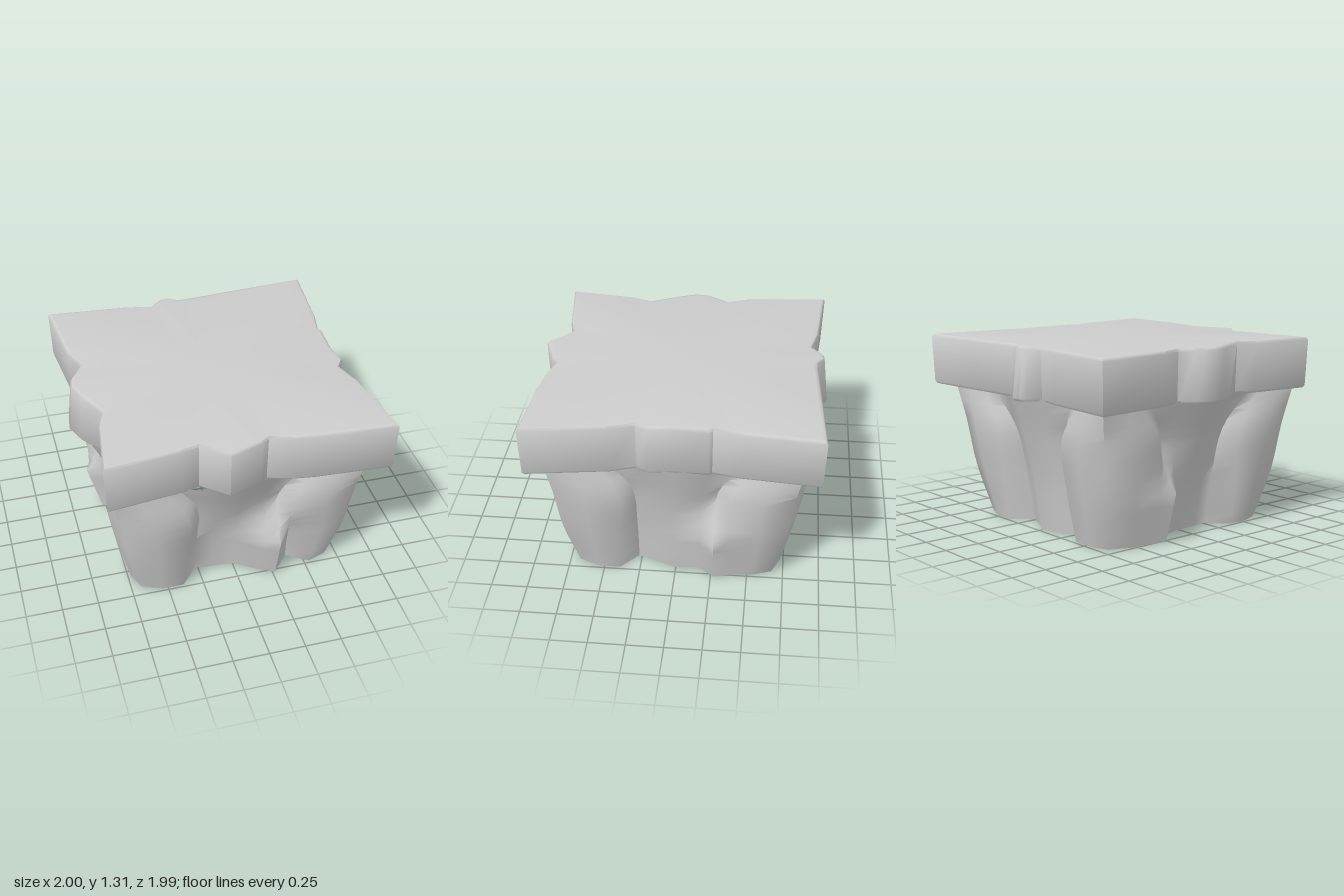
import * as THREE from 'three';
import { toCreasedNormals } from 'three/addons/utils/BufferGeometryUtils.js';

const stone = new THREE.MeshStandardMaterial({ color: 0xcccccc, side: THREE.DoubleSide });
stone.name = 'stone grey';

// Skin closed rings of [x, y, z], listed bottom to top and anticlockwise from above
function loft(rings, crease) {
  const n = rings[0].length, index = [];
  for (let j = 0; j < rings.length - 1; j++) {
    for (let i = 0; i < n; i++) {
      const k = (i + 1) % n;
      const a = j * n + i, b = j * n + k, c = b + n, d = a + n;
      index.push(a, b, c, a, c, d);
    }
  }
  const g = new THREE.BufferGeometry();
  g.setAttribute('position', new THREE.Float32BufferAttribute(rings.flat(2), 3));
  g.setIndex(index);
  return toCreasedNormals(g, crease);
}

// Half of one side at each height: [along, outward] from corner ridge to middle
const levels = [
  { y: 0, half: [[0.68, 0.67], [0.54, 0.73], [0.39, 0.73], [0.27, 0.59], [0.16, 0.6], [0, 0.61]] },
  { y: 0.35, half: [[0.77, 0.75], [0.57, 0.81], [0.37, 0.79], [0.27, 0.65], [0.17, 0.66], [0, 0.67]] },
  { y: 0.7, half: [[0.82, 0.8], [0.6, 0.87], [0.37, 0.83], [0.29, 0.73], [0.18, 0.76], [0, 0.77]] },
  { y: 0.96, half: [[0.87, 0.85], [0.7, 0.85], [0.54, 0.82], [0.45, 0.81], [0.24, 0.85], [0, 0.87]] },
];

// Low knobs beside the lobes: side number and place along it
const knobs = [{ side: 0, at: 0.24 }, { side: 1, at: 0.27 }, { side: 3, at: -0.28 }];

// The groove that parts the front knob from its lobe
const groove = { side: 0, at: 0.39, depth: 0.1 };

// Column in the middle of each side: place, and how far it stands out below and above
const columns = [
  { at: -0.12, low: 0, high: 0.1 },
  { at: 0, low: 0.09, high: 0.02 },
  { at: 0.04, low: 0.13, high: 0.09 },
  { at: 0, low: 0, high: 0.09 },
];

const hat = (d, width) => Math.max(0, 1 - Math.abs(d) / width);

function shapeSide(side, t, y, base) {
  const column = columns[side];
  const stand = column.low + (column.high - column.low) * y * y;
  let o = base + stand * hat(t - column.at, 0.27);
  const up = y < 0.36 ? 1 : hat(y - 0.36, 0.26);
  if (side === groove.side) o -= groove.depth * up * hat(t - groove.at, 0.1);
  for (const k of knobs) {
    if (k.side !== side) continue;
    const across = Math.min(1, 1.6 * hat(t - k.at, 0.14));
    const reach = 0.775 + 0.1 * Math.min(1, y / 0.36);
    o += Math.max(0, reach - o) * across * up;
  }
  return o;
}

// One body ring: the half profile mirrored, then turned round the four sides
function bodyRing(y, half) {
  const left = half.map(([t, o]) => [-t, o]);
  const right = half.slice(1, -1).reverse();
  const ring = [];
  for (let s = 0; s < 4; s++) {
    for (const [t, base] of [...left, ...right]) {
      const o = shapeSide(s, t, y, base);
      const [x, z] = [[t, o], [o, -t], [-t, -o], [-o, t]][s];
      ring.push([x, y, z]);
    }
  }
  return ring;
}

// Smooth curve through the heights
function bodyRings() {
  const curves = levels[0].half.map((_, i) => new THREE.CatmullRomCurve3(
    levels.map(l => new THREE.Vector3(l.half[i][0], l.y, l.half[i][1]))));
  const rings = [], steps = 12;
  for (let j = 0; j <= steps; j++) {
    const pts = curves.map(c => c.getPoint(j / steps));
    rings.push(bodyRing(pts[0].y, pts.map(p => [p.x, p.z])));
  }
  return rings;
}

// Star-like slab outline, [x, z]
const outline = [
  [-0.97, -0.97], [-0.4, -0.92], [-0.22, -0.88], [-0.17, -0.965], [-0.13, -0.995], [-0.07, -1],
  [0, -0.955], [0.06, -0.92], [0.5, -0.95], [0.97, -0.98], [0.92, -0.45], [0.88, -0.26],
  [0.9, -0.24], [0.89, 0], [0.91, 0.16], [0.86, 0.24], [0.92, 0.42], [1, 0.975],
  [0.48, 0.945], [0.3, 0.92], [0.15, 0.875], [0.1, 0.91], [-0.13, 0.99], [-0.3, 0.835],
  [-0.43, 0.87], [-0.93, 0.93], [-0.87, 0.47], [-0.82, 0.33], [-0.95, 0.13], [-1, 0],
  [-0.99, -0.1], [-0.95, -0.16], [-0.86, -0.25], [-0.92, -0.41],
].reverse();

// [scale, height] from the open underside, round the edges, to the top centre
const slabProfile = [
  [0.85, 0.945], [0.975, 0.945], [0.988, 0.962], [1, 1.285], [0.988, 1.303], [0.965, 1.306], [0, 1.307],
];

// The back and left bumps lean inward towards the top, the rest leans outward
function slabRing([scale, y]) {
  return outline.map(([x, z]) => {
    const ax = Math.abs(x), az = Math.abs(z);
    const bump = Math.min(ax, az) < 0.18 && Math.max(ax, az) > 0.93 && z < 0.5;
    const s = bump ? scale * (y > 1.2 ? 0.965 : 1.012) : scale;
    return [x * s, y, z * s];
  });
}

export function createModel() {
  const group = new THREE.Group();
  const add = (name, geometry) => {
    const mesh = new THREE.Mesh(geometry, stone);
    mesh.name = name;
    group.add(mesh);
  };
  add('lobedBody', loft(bodyRings(), 1.1));
  add('topSlab', loft(slabProfile.map(slabRing), 0.9));
  return group;
}
